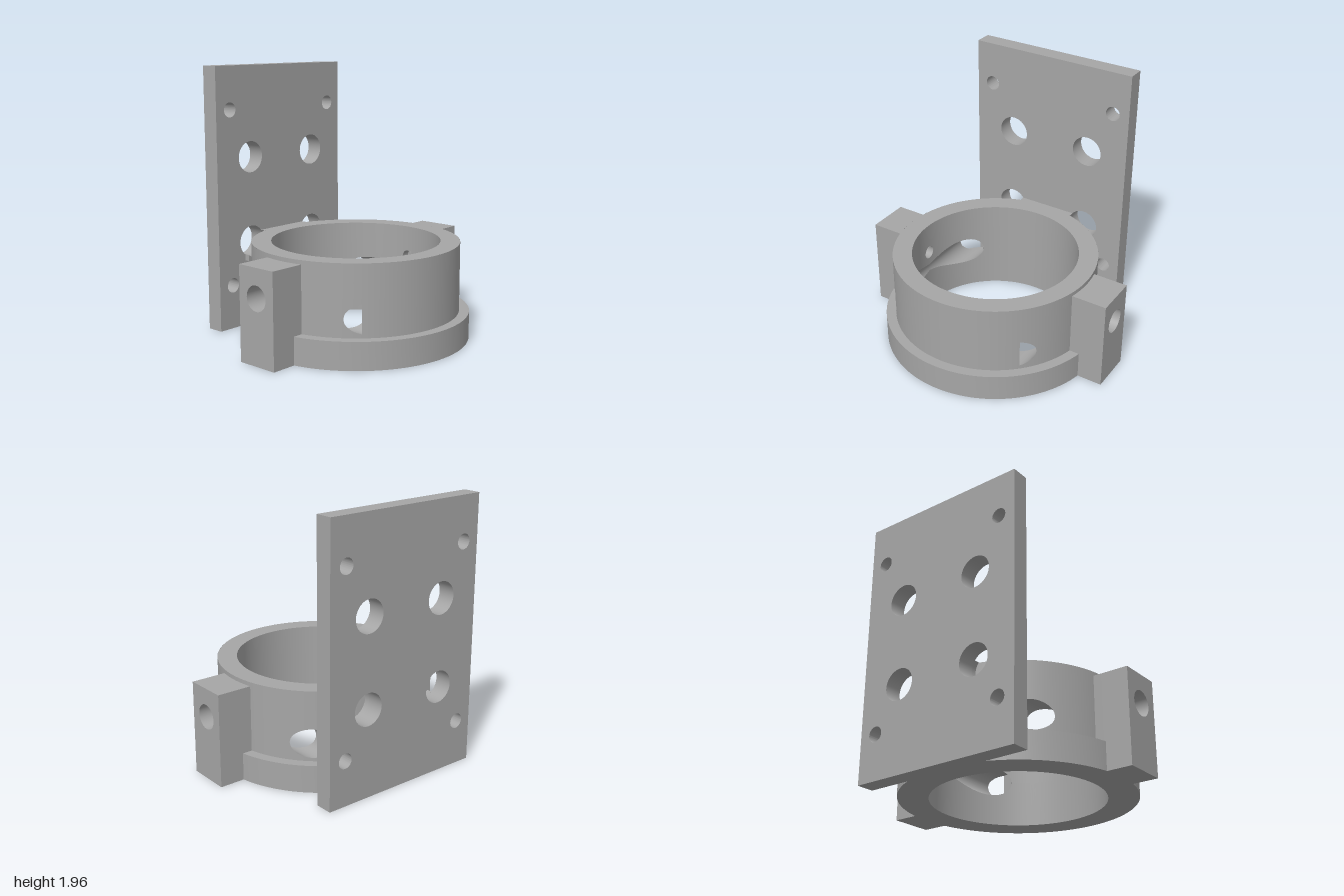
import * as THREE from 'three';
import { mergeVertices, mergeGeometries, toCreasedNormals } from 'three/addons/utils/BufferGeometryUtils.js';

const CZ = 0.025;                       // ring centre in z
const RI = 0.615, RO = 0.757, RF = 0.83; // inner, outer and flange radius
const TOP = 0.71, FLANGE = 0.2;
const BORE = { x: 0.515, y: 0.33, r: 0.105, end: 0.53 }; // screw access bore along z
const PIN = { y: 0.47, r: 0.05 };        // small side hole on the inner wall

const half = (r, d) => Math.sqrt(Math.max(0, r * r - d * d));

// Smooth ribbon through pairs of points
function ribbon(pairs) {
  const pos = [], idx = [];
  pairs.forEach(([a, b], i) => {
    pos.push(...a, ...b);
    if (i) { const k = i * 2; idx.push(k - 2, k, k - 1, k, k + 1, k - 1); }
  });
  const g = new THREE.BufferGeometry();
  g.setAttribute('position', new THREE.Float32BufferAttribute(pos, 3));
  g.setIndex(idx);
  return g;
}

// Cylindrical wall made of columns, each interrupted where a hole crosses it
function wall(R, y0, withPin, flip) {
  const angles = [];
  for (let i = 0; i <= 720; i++) angles.push(i / 720 * Math.PI * 2);
  if (R > BORE.end) {
    const e = Math.acos(BORE.end / R);
    for (const a of [e, Math.PI * 2 - e]) angles.push(a - 1e-5, a + 1e-5);
  }
  angles.sort((a, b) => a - b);
  if (flip) angles.reverse();
  const bands = [[], [], []];
  for (const a of angles) {
    const x = R * Math.sin(a), z = R * Math.cos(a);
    const h = z < BORE.end ? half(BORE.r, Math.abs(x) - BORE.x) : 0;
    const p = withPin ? half(PIN.r, z) : 0;
    const ys = [y0, BORE.y - h, BORE.y + h, PIN.y - p, PIN.y + p, TOP];
    bands.forEach((band, i) => band.push([[x, ys[2 * i], z + CZ], [x, ys[2 * i + 1], z + CZ]]));
  }
  const g = mergeVertices(mergeGeometries(bands.map(ribbon)), 1e-6);
  g.computeVertexNormals();
  return g;
}

// Surface of the bore where it passes through the ring wall
function boreWall(s, back) {
  const pairs = [];
  for (let i = 0; i <= 96; i++) {
    const t = i / 96 * Math.PI * 2;
    const x = BORE.x + BORE.r * Math.cos(t), y = BORE.y + BORE.r * Math.sin(t);
    const zi = half(RI, x);
    const zo = back ? half(RO, x) : Math.min(half(RO, x), BORE.end);
    const k = back ? -1 : 1;
    const pair = [[s * x, y, CZ + k * zi], [s * x, y, CZ + k * zo]];
    pairs.push(s * k > 0 ? pair : pair.reverse());
  }
  const g = ribbon(pairs);
  g.computeVertexNormals();
  return g;
}

// Flat end of the bore inside the front wall
function boreEnd(s) {
  const pairs = [], x0 = BORE.x - BORE.r, x1 = half(RO, BORE.end);
  for (let i = 0; i <= 32; i++) {
    const x = x0 + (x1 - x0) * i / 32, h = half(BORE.r, x - BORE.x);
    const pair = [[s * x, BORE.y - h, CZ + BORE.end], [s * x, BORE.y + h, CZ + BORE.end]];
    pairs.push(s < 0 ? pair : pair.reverse());
  }
  const g = ribbon(pairs);
  g.computeVertexNormals();
  return g;
}

function rectangle(x0, y0, x1, y1) {
  return new THREE.Shape([[x0, y0], [x1, y0], [x1, y1], [x0, y1]].map(p => new THREE.Vector2(...p)));
}

function addHole(shape, x, y, r) {
  shape.holes.push(new THREE.Path().absarc(x, y, r, 0, Math.PI * 2, true));
}

function extrude(shape, depth) {
  const g = new THREE.ExtrudeGeometry(shape, { depth, bevelEnabled: false, curveSegments: 32 });
  return toCreasedNormals(g, 0.6);
}

export function createModel() {
  const model = new THREE.Group();
  model.name = 'ringBracket';
  const grey = new THREE.MeshStandardMaterial({ color: 0xa6a6a6, side: THREE.DoubleSide });
  grey.name = 'plain grey';
  const add = (name, geometry, parent = model) => {
    const m = new THREE.Mesh(geometry, grey);
    m.name = name;
    parent.add(m);
    return m;
  };

  // Mounting plate with four large and four small holes
  const plate = rectangle(-0.645, 0, 0.645, 1.96);
  for (const s of [-1, 1]) {
    for (const y of [0.64, 1.28]) addHole(plate, s * 0.32, y, 0.117);
    for (const y of [0.33, 1.64]) addHole(plate, s * 0.515, y, 0.055);
  }
  add('mountingPlate', extrude(plate, 0.13)).position.z = -0.87;

  // Ring: walls, flange and top rim
  const ring = new THREE.Group();
  ring.name = 'ring';
  model.add(ring);
  add('outerWall', wall(RO, FLANGE, false, false), ring);
  add('innerWall', wall(RI, 0, true, true), ring);
  const lathe = pts => toCreasedNormals(
    new THREE.LatheGeometry(pts.map(p => new THREE.Vector2(...p)), 128), 0.6);
  add('flange', lathe([[RI, 0], [RF, 0], [RF, FLANGE], [RO, FLANGE]]), ring).position.z = CZ;
  add('topRim', lathe([[RO, TOP], [RI, TOP]]), ring).position.z = CZ;

  // Bridge between ring and plate, scooped by the large lower holes
  const bridge = new THREE.Shape();
  bridge.moveTo(-0.39, 0.5);
  bridge.lineTo(0.39, 0.5);
  const scoop = [];
  const a0 = Math.atan2(-0.094, 0.07), a1 = Math.atan2(0.07, -0.094) - Math.PI * 2;
  for (let i = 0; i <= 24; i++) {
    const a = a0 + (a1 - a0) * i / 24;
    scoop.push([0.32 + 0.117 * Math.cos(a), 0.64 + 0.117 * Math.sin(a)]);
  }
  scoop[24][1] = TOP;
  scoop.forEach(([x, y]) => bridge.lineTo(x, y));
  scoop.reverse().forEach(([x, y]) => bridge.lineTo(-x, y));
  add('bridge', extrude(bridge, 0.04)).position.z = -0.742;

  for (const s of [-1, 1]) {
    const side = s > 0 ? 'left' : 'right';

    // Screw access bore
    add(side + 'BoreBack', boreWall(s, true), ring);
    add(side + 'BoreFront', boreWall(s, false), ring);
    add(side + 'BoreEnd', boreEnd(s), ring);

    // Side lug with a blind hole
    const lug = new THREE.Group();
    lug.name = side + 'Lug';
    model.add(lug);
    const face = rectangle(-0.16, 0, 0.16, 0.68);
    addHole(face, 0, PIN.y, 0.09);
    const outer = add('lugBody', extrude(face, 0.2), lug);
    outer.rotation.y = s * Math.PI / 2;
    outer.position.set(s * 0.8, 0, 0.03);
    add('lugRoot', new THREE.BoxGeometry(0.1, 0.68, 0.32), lug).position.set(s * 0.75, 0.34, 0.03);

    // Small pin hole opening into the ring
    const pin = add('pinHole', new THREE.CylinderGeometry(PIN.r, PIN.r, 0.067, 32, 1, true), lug);
    pin.rotation.z = Math.PI / 2;
    pin.position.set(s * 0.6465, PIN.y, CZ);
    const floor = add('pinHoleFloor', new THREE.CircleGeometry(PIN.r, 32), lug);
    floor.rotation.y = -s * Math.PI / 2;
    floor.position.set(s * 0.68, PIN.y, CZ);
  }
  return model;
}
